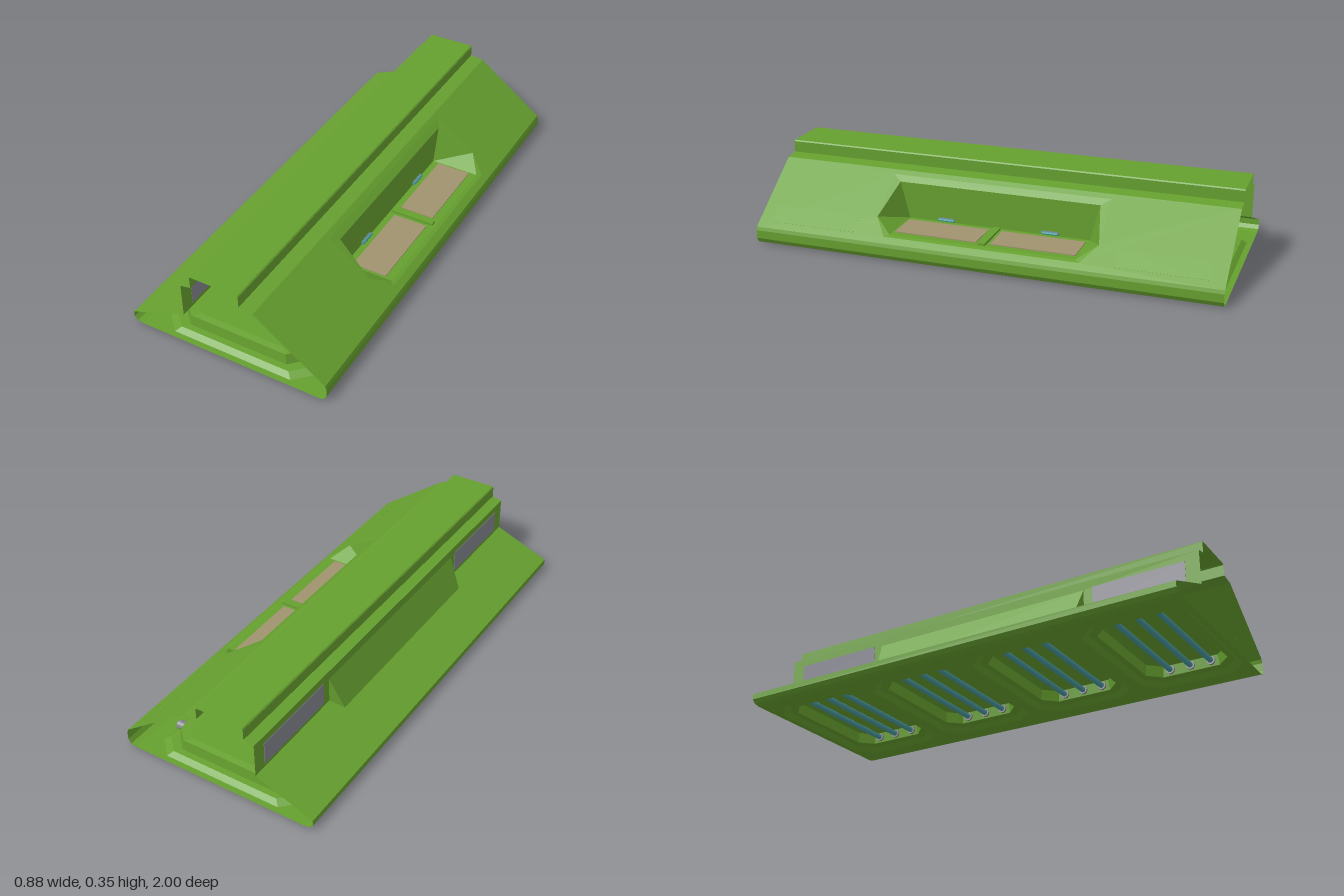
import * as THREE from 'three';

const paint = (color) => new THREE.MeshStandardMaterial({ color, side: THREE.DoubleSide, flatShading: true });

export function createModel() {
  const model = new THREE.Group();
  const green = paint(0x66a02f), beige = paint(0xa0936f), teal = paint(0x4a9ba0), grey = paint(0x85858f);

  function add(geometry, material, name, x = 0, y = 0, z = 0, parent = model) {
    const mesh = new THREE.Mesh(geometry, material);
    mesh.name = name;
    mesh.position.set(x, y, z);
    parent.add(mesh);
    return mesh;
  }
  const box = (name, material, w, h, d, x, y, z, parent) =>
    add(new THREE.BoxGeometry(w, h, d), material, name, x, y, z, parent);

  // Flat convex polygons, each a list of [x, y, z] corners, joined in one geometry
  function polygons(faces) {
    const p = [];
    for (const f of faces)
      for (let i = 1; i < f.length - 1; i++) p.push(...f[0], ...f[i], ...f[i + 1]);
    const g = new THREE.BufferGeometry();
    g.setAttribute('position', new THREE.Float32BufferAttribute(p, 3));
    g.computeVertexNormals();
    return g;
  }
  // Open strip: a profile of [x, y] points swept along the whole length
  const strip = (profile) => polygons(profile.slice(1).map(([x, y], i) => {
    const [px, py] = profile[i];
    return [[px, py, 1], [px, py, -1], [x, y, -1], [x, y, 1]];
  }));
  // Sheet with holes; rule places each flat (u, v) corner in space
  function sheet(outline, holes, rule) {
    const shape = new THREE.Shape(outline.map(([u, v]) => new THREE.Vector2(u, v)));
    for (const h of holes) shape.holes.push(new THREE.Path(h.map(([u, v]) => new THREE.Vector2(u, v))));
    const g = new THREE.ShapeGeometry(shape), pos = g.attributes.position;
    for (let i = 0; i < pos.count; i++) pos.setXYZ(i, ...rule(pos.getX(i), pos.getY(i)));
    g.computeVertexNormals();
    return g;
  }

  // Shell: ridge, back wall, back slope and the lower rims
  const slopeY = (x) => 0.295 - 0.728 * (x - 0.13);
  add(strip([
    [0.13, 0.295], [0.075, 0.302], [0.07, 0.302], [0.07, 0.35], [0.065, 0.355],
    [-0.14, 0.355], [-0.145, 0.35], [-0.145, 0.302], [-0.19, 0.293], [-0.19, 0.145],
    [-0.44, 0.045], [-0.44, 0.02], [-0.425, 0.005], [-0.4, 0],
  ]), green, 'ridgeAndBackShell');
  add(strip([[0.432, slopeY(0.432)], [0.437, 0.06], [0.437, 0.025], [0.425, 0.005], [0.4, 0]]), green, 'frontRim');

  // Front slope with the opening for the window pocket
  const opening = [[0.15, 0.48], [0.33, 0.48], [0.405, 0.42], [0.405, -0.42], [0.33, -0.48], [0.15, -0.48]];
  add(sheet([[0.13, -1], [0.432, -1], [0.432, 1], [0.13, 1]], [opening], (x, z) => [x, slopeY(x), z]),
    green, 'frontSlope');

  // Pocket: bevel, upright back, floor, lip and tapered ends
  const pair = (x, y, z) => [[x, y, z], [x, y, -z]];
  const hTop = pair(0.15, slopeY(0.15), 0.48), hMid = pair(0.33, slopeY(0.33), 0.48);
  const hLow = pair(0.405, slopeY(0.405), 0.42), top = pair(0.175, 0.258, 0.44);
  const back = pair(0.175, 0.1, 0.4), fore = pair(0.388, 0.1, 0.4);
  const across = (a, b) => [a[0], b[0], b[1], a[1]];
  const pocket = [across(hTop, top), across(top, back), across(back, fore), across(fore, hLow)];
  for (const s of [0, 1])
    pocket.push([hTop[s], hMid[s], top[s]], [top[s], hMid[s], back[s]],
      [back[s], hMid[s], fore[s]], [fore[s], hMid[s], hLow[s]]);
  add(polygons(pocket), green, 'windowPocket');
  box('pocketDivider', green, 0.19, 0.012, 0.03, 0.28, 0.104, 0);

  for (const s of [-1, 1]) {
    box('windowBase', green, 0.15, 0.01, 0.36, 0.28, 0.095, s * 0.21);
    box('window', beige, 0.15, 0.004, 0.36, 0.28, 0.102, s * 0.21);
    box('handleMount', grey, 0.016, 0.016, 0.07, 0.17, 0.11, s * 0.23);
    const grip = add(new THREE.CylinderGeometry(0.007, 0.007, 0.07, 8), teal, 'handle', 0.182, 0.11, s * 0.23);
    grip.rotation.x = Math.PI / 2;

    // Flat plates on the back wall and just under the front slope
    box('backPlate', grey, 0.003, 0.1, 0.4, -0.1905, 0.21, s * 0.74);
    const plate = box('slopePlate', green, 0.085, 0.001, 0.38, 0.37, slopeY(0.37), s * 0.75);
    plate.rotation.z = -Math.atan(0.728);
  }

  // Tapered bulge along the middle of the back wall
  const bTop = pair(-0.19, 0.255, 0.5), bLow = pair(-0.25, 0.121, 0.48), bRoot = pair(-0.19, 0.145, 0.5);
  add(polygons([across(bTop, bLow), [bTop[0], bLow[0], bRoot[0]], [bTop[1], bLow[1], bRoot[1]]]),
    green, 'backBulge');

  // Underside plate with four eight-sided bays
  const octagon = (hx, hz, c, cz = 0) => [
    [hx, hz - c], [hx - c, hz], [c - hx, hz], [-hx, hz - c],
    [-hx, c - hz], [c - hx, -hz], [hx - c, -hz], [hx, c - hz],
  ].map(([x, z]) => [x, z + cz]);
  const bayCentres = [-0.75, -0.25, 0.25, 0.75];
  add(sheet([[-0.4, -1], [0.4, -1], [0.4, 1], [-0.4, 1]],
    bayCentres.map((z) => octagon(0.335, 0.225, 0.07, z)), (x, z) => [x, 0, z]), green, 'undersidePlate');

  // Stepped rings that make one bay, closed on top
  const rings = [[0.335, 0.225, 0.07, 0], [0.31, 0.205, 0.065, 0.018], [0.275, 0.18, 0.055, 0.02],
    [0.27, 0.175, 0.055, 0.066], [0.225, 0.15, 0.04, 0.07]]
    .map(([hx, hz, c, y]) => octagon(hx, hz, c).map(([x, z]) => [x, y, z]));
  const bayFaces = [rings[rings.length - 1]];
  for (let r = 1; r < rings.length; r++)
    for (let i = 0; i < 8; i++) {
      const j = (i + 1) % 8;
      bayFaces.push([rings[r - 1][i], rings[r - 1][j], rings[r][j], rings[r][i]]);
    }
  const bayGeometry = polygons(bayFaces);
  const tube = new THREE.CylinderGeometry(0.012, 0.012, 0.62, 10).rotateZ(Math.PI / 2);
  const socket = new THREE.CylinderGeometry(0.019, 0.019, 0.04, 10).rotateZ(Math.PI / 2);

  for (const z of bayCentres) {
    const bay = new THREE.Group();
    bay.name = 'lightBay';
    bay.position.z = z;
    model.add(bay);
    add(bayGeometry, green, 'bayHousing', 0, 0, 0, bay);
    for (const k of [-1, 0, 1]) {
      add(tube, teal, 'lightTube', 0, 0.045, k * 0.09, bay);
      for (const s of [-1, 1]) add(socket, grey, 'tubeSocket', s * 0.285, 0.045, k * 0.09, bay);
    }
  }
  return model;
}
